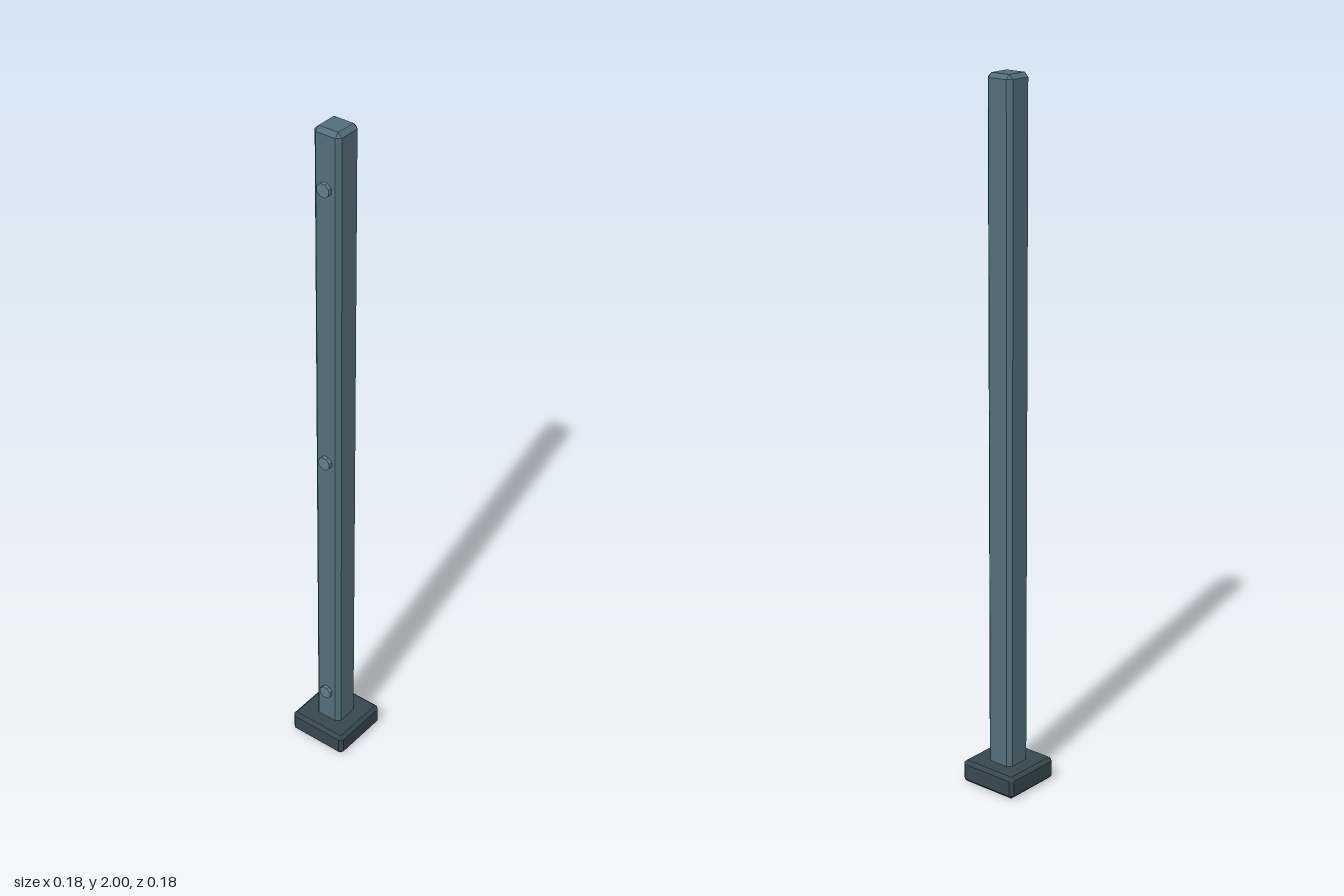
import * as THREE from 'three';
import { ConvexGeometry } from 'three/addons/geometries/ConvexGeometry.js';

const paint = (color) => new THREE.MeshStandardMaterial({ color, flatShading: true });

// Box with every edge cut by a flat chamfer c, standing from y0 to y1
function chamferedBox(width, y0, y1, depth, c) {
  const h = [width / 2, (y1 - y0) / 2, depth / 2];
  const points = [];
  for (const sx of [-1, 1]) for (const sy of [-1, 1]) for (const sz of [-1, 1]) {
    for (let axis = 0; axis < 3; axis++) {
      const [x, y, z] = h.map((v, i) => (i === axis ? v : v - c));
      points.push(new THREE.Vector3(sx * x, sy * y, sz * z));
    }
  }
  return new ConvexGeometry(points).translate(0, (y0 + y1) / 2, 0);
}

export function createModel() {
  const model = new THREE.Group();
  model.name = 'post';
  const add = (name, geometry, material) => {
    const mesh = new THREE.Mesh(geometry, material);
    mesh.name = name;
    model.add(mesh);
    return mesh;
  };

  // Square foot and upright
  add('basePlate', chamferedBox(0.184, 0, 0.066, 0.184, 0.01), paint(0x37474f));
  add('upright', chamferedBox(0.084, 0.045, 2, 0.084, 0.012), paint(0x546e7a));

  // Eight-sided bolt heads down the front face
  const boltMaterial = paint(0x607d8b);
  const boltGeometry = new THREE.CylinderGeometry(0.02, 0.02, 0.024, 8)
    .rotateY(Math.PI / 8)
    .rotateX(Math.PI / 2);
  for (const y of [0.17, 1.005, 1.84]) {
    add('bolt', boltGeometry, boltMaterial).position.set(0, y, 0.041);
  }
  return model;
}
